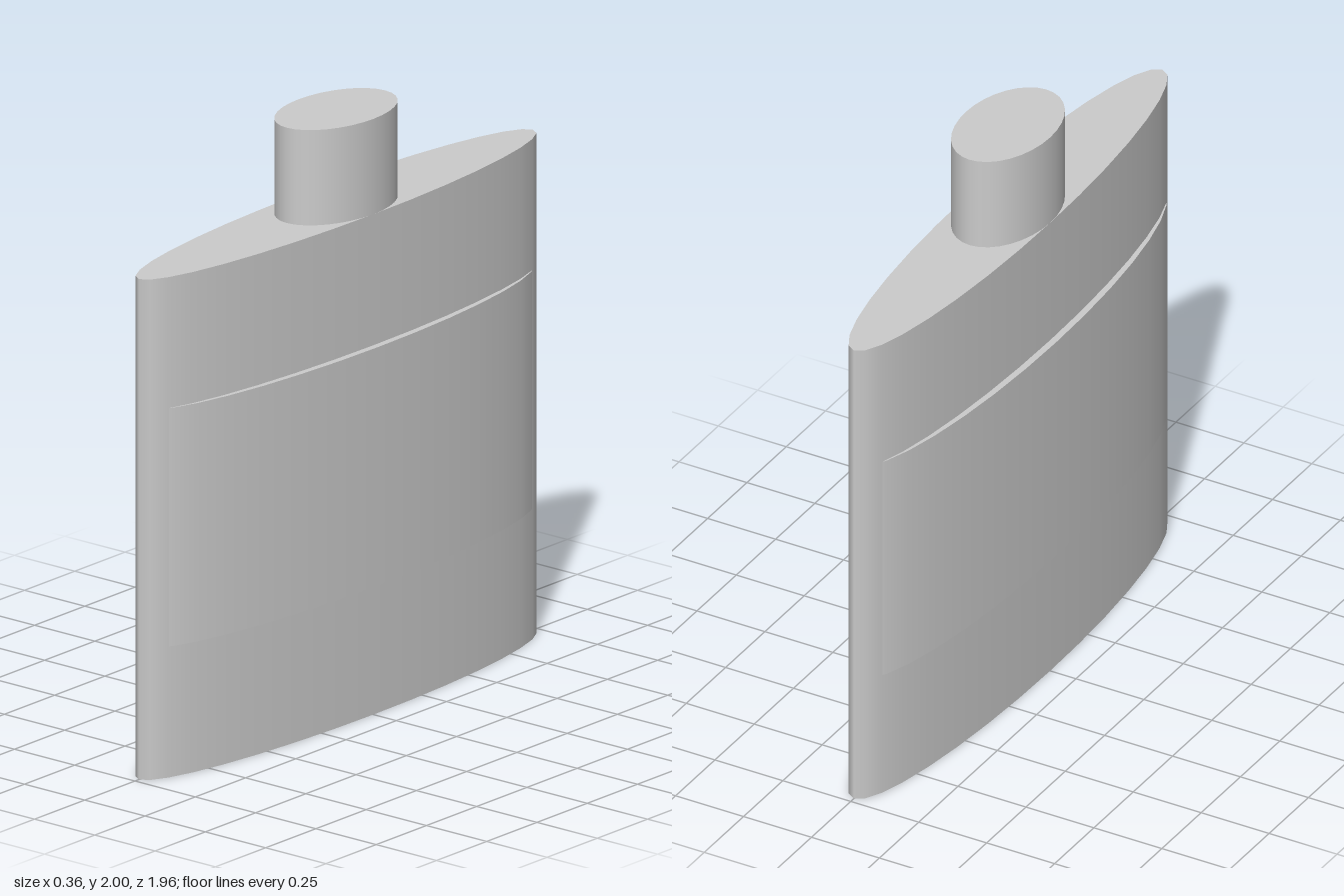
import * as THREE from 'three';

export function createModel() {
  const group = new THREE.Group();
  const material = new THREE.MeshStandardMaterial({ color: 0xcccccc });

  // Upright cylinder with an elliptical cross-section
  function addOval(name, halfX, halfZ, bottom, top) {
    const geometry = new THREE.CylinderGeometry(1, 1, top - bottom, 32);
    geometry.scale(halfX, 1, halfZ);
    geometry.translate(0, (top + bottom) / 2, 0);
    const mesh = new THREE.Mesh(geometry, material);
    mesh.name = name;
    group.add(mesh);
  }

  // Flat flask body, raised band around its middle, and stopper
  addOval('body', 0.155, 0.98, 0, 1.68);
  addOval('labelBand', 0.178, 0.963, 0.44, 1.24);
  addOval('cap', 0.155, 0.245, 1.68, 2);

  return group;
}
